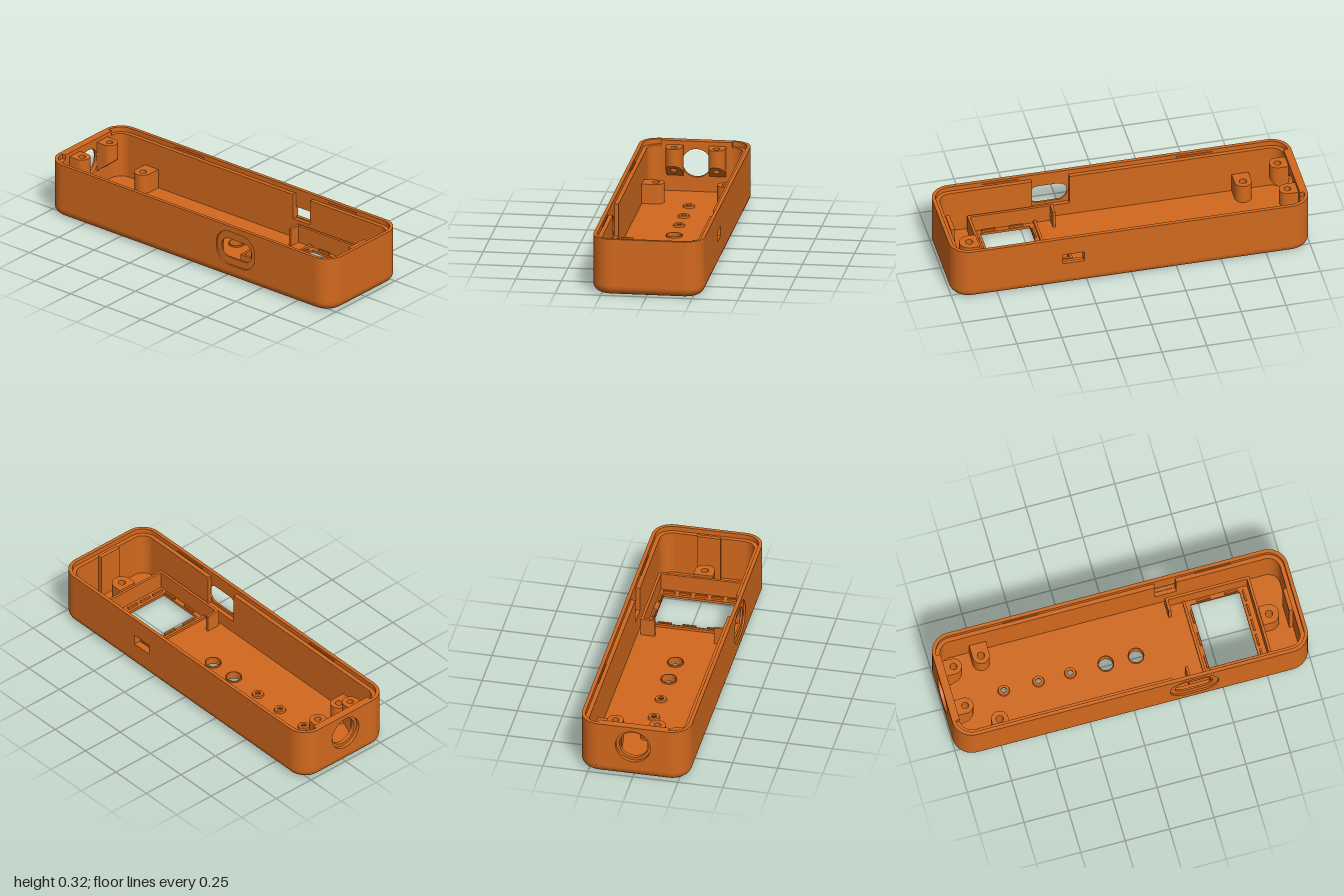
import * as THREE from 'three';
import { toCreasedNormals } from 'three/addons/utils/BufferGeometryUtils.js';

// Outline helpers: floor plans are drawn as (x, -z), side panels as (-z, y)
function rounded(cx, cy, hx, hy, r, Type = THREE.Shape) {
  const s = new Type();
  const a = hx - r, b = hy - r, q = Math.PI / 2;
  s.absarc(cx + a, cy + b, r, 0, q, false);
  s.absarc(cx - a, cy + b, r, q, 2 * q, false);
  s.absarc(cx - a, cy - b, r, 2 * q, 3 * q, false);
  s.absarc(cx + a, cy - b, r, 3 * q, 4 * q, false);
  s.closePath();
  return s;
}
function polygon(pts, Type = THREE.Shape) {
  return new Type(pts.map(p => new THREE.Vector2(p[0], p[1])));
}
function rect(x0, y0, x1, y1, Type = THREE.Shape) {
  return polygon([[x0, y0], [x1, y0], [x1, y1], [x0, y1]], Type);
}
function circle(x, y, r) {
  return new THREE.Path().absarc(x, y, r, 0, Math.PI * 2, true);
}
function withHoles(shape, ...holes) {
  shape.holes.push(...holes);
  return shape;
}
const extrude = (shape, depth) =>
  new THREE.ExtrudeGeometry(shape, { depth, bevelEnabled: false, curveSegments: 14 });
const slab = (shape, y0, y1) => extrude(shape, y1 - y0).rotateX(-Math.PI / 2).translate(0, y0, 0);
const sidePanel = (shape, x0, x1) => extrude(shape, x1 - x0).rotateY(Math.PI / 2).translate(x0, 0, 0);
const facePanel = (shape, z0, z1) => extrude(shape, z1 - z0).translate(0, 0, z0);

// Skin between closed outlines, listed as [points, y]
function loft(rings) {
  const pos = [], idx = [], n = rings[0][0].length;
  for (const [pts, y] of rings) for (const p of pts) pos.push(p.x, y, -p.y);
  for (let k = 0; k < rings.length - 1; k++) {
    for (let i = 0; i < n; i++) {
      const j = (i + 1) % n, a = k * n + i, b = k * n + j;
      idx.push(a, b, b + n, a, b + n, a + n);
    }
  }
  const g = new THREE.BufferGeometry();
  g.setAttribute('position', new THREE.Float32BufferAttribute(pos, 3));
  g.setIndex(idx);
  return g;
}

export function createModel() {
  const group = new THREE.Group();
  const orange = new THREE.MeshStandardMaterial({ color: 0xd2691e });
  orange.name = 'orange plastic';
  function add(name, geometry) {
    geometry.computeVertexNormals();
    const mesh = new THREE.Mesh(toCreasedNormals(geometry, 0.6), orange);
    mesh.name = name;
    group.add(mesh);
    return mesh;
  }
  const box = (name, x0, x1, y0, y1, z0, z1) => add(name,
    new THREE.BoxGeometry(x1 - x0, y1 - y0, z1 - z0)
      .translate((x0 + x1) / 2, (y0 + y1) / 2, (z0 + z1) / 2));

  const X = 0.305, H = 0.318, F = 0.05, FLOOR = 0.035, LEDGE = 0.29;
  const CX = 0.195, CZ = 0.89;

  // Rounded bottom edge
  const rings = [];
  for (let i = 0; i <= 8; i++) {
    const a = (i / 8) * Math.PI / 2, inset = F * (1 - Math.sin(a));
    rings.push([rounded(0, 0, X - inset, 1 - inset, 0.11 - inset).getPoints(10), F * (1 - Math.cos(a))]);
  }
  add('bottomEdge', loft(rings));

  // Floor in two layers, with the display opening and the button and light holes
  const holes = () => [
    ...[-0.08, 0.09].map(z => circle(0, -z, 0.04)),
    ...[-0.655, -0.46, -0.28].map(z => circle(0, -z, 0.03))];
  add('floorBottom', slab(withHoles(rounded(0, 0, X - F, 1 - F, 0.06),
    rect(-0.245, -0.775, 0.245, -0.41, THREE.Path), ...holes()), 0, 0.02));
  add('floorTop', slab(withHoles(rounded(0, 0, 0.275, 0.97, 0.08),
    rect(-0.205, -0.73, 0.205, -0.455, THREE.Path), ...holes()), 0.02, FLOOR));
  add('displayChamfer', loft([
    [rounded(0, -0.5925, 0.205, 0.1375, 0.001).getPoints(2), 0.02],
    [rounded(0, -0.5925, 0.245, 0.1825, 0.001).getPoints(2), 0]]));
  for (const z of [-0.655, -0.46, -0.28]) {
    const profile = [[0.03, 0.02], [0.033, 0.035], [0.03, 0.046], [0.015, 0.046], [0.015, 0.036], [0.03, 0.02]];
    add('lightHole', new THREE.LatheGeometry(profile.map(p => new THREE.Vector2(...p)), 24).translate(0, 0, z));
  }
  for (const z of [-0.08, 0.09]) {
    const profile = [[0.045, 0.03], [0.045, 0.044], [0.04, 0.044], [0.04, 0.03]];
    add('buttonRim', new THREE.LatheGeometry(profile.map(p => new THREE.Vector2(...p)), 28).translate(0, 0, z));
  }

  // Wall corners: thin lip outside, lower ledge inside
  for (let i = 0; i < 4; i++) {
    const cx = i === 0 || i === 3 ? CX : -CX, cy = i < 2 ? CZ : -CZ;
    const a = i * Math.PI / 2, b = a + Math.PI / 2;
    const quarter = (r0, r1) => {
      const s = new THREE.Shape();
      s.absarc(cx, cy, r1, a, b, false);
      s.absarc(cx, cy, r0, b, a, true);
      s.closePath();
      return s;
    };
    add('cornerLip', slab(quarter(0.09, 0.11), F, H));
    add('cornerLedge', slab(quarter(0.067, 0.09), 0.02, LEDGE));
  }

  // Front wall and its inner rib
  box('frontLip', -CX, CX, F, H, 0.98, 1);
  box('frontLedge', -CX, CX, 0.02, LEDGE, 0.957, 0.98);
  box('frontRib', -0.065, 0.065, FLOOR, 0.3, 0.935, 0.957);

  // Back wall with a stepped cable hole
  add('backWallOuter', facePanel(withHoles(rect(-CX, F, CX, H), circle(0, 0.195, 0.097)), -1, -0.98));
  add('backWallInner', facePanel(withHoles(rect(-CX, 0.02, CX, H), circle(0, 0.195, 0.08)), -0.98, -0.957));

  // Left wall with the small rectangular window
  add('leftLip', sidePanel(withHoles(rect(-CZ, F, CZ, H),
    rect(-0.39, 0.15, -0.27, 0.21, THREE.Path)), 0.285, X));
  // Right wall with a recessed slot
  add('rightLipOuter', sidePanel(withHoles(rect(-CZ, F, CZ, H),
    rounded(-0.335, 0.185, 0.135, 0.1, 0.09, THREE.Path)), -X, -0.295));
  add('rightLipInner', sidePanel(withHoles(rect(-CZ, F, CZ, H),
    rounded(-0.335, 0.182, 0.105, 0.055, 0.05, THREE.Path)), -0.295, -0.285));
  // Inner ledges, notched behind the openings
  const notched = (z0, z1, y) => polygon([[-CZ, 0.02], [CZ, 0.02], [CZ, LEDGE], [-z0, LEDGE],
    [-z0, y], [-z1, y], [-z1, LEDGE], [-CZ, LEDGE]]);
  add('leftLedge', sidePanel(notched(0.27, 0.39, 0.145), 0.262, 0.285));
  add('rightLedge', sidePanel(notched(0.22, 0.43, 0.11), -0.285, -0.262));
  for (const s of [-1, 1]) for (const z of [-0.48, 0.6]) {
    const x = s * 0.283;
    box('lidCatch', x - 0.003, x + 0.003, 0.297, 0.305, z - 0.1, z + 0.1);
  }

  // Display frame
  const T = 0.135;
  for (const s of [-1, 1]) {
    const span = (a, b) => (s > 0 ? [a, b] : [-b, -a]);
    box('frameSide', ...span(0.23, 0.245), 0.03, T, 0.32, 0.795);
    box('frameHook', ...span(0.165, 0.23), 0.03, T, 0.32, 0.335);
    for (const z of [0.53, 0.685]) box('displayClip', ...span(0.209, 0.219), 0.03, 0.048, z - 0.038, z + 0.038);
  }
  box('frameFront', -0.23, 0.23, 0.03, T, 0.78, 0.795);
  box('frameBack', -0.23, 0.23, 0.03, 0.05, 0.415, 0.43);
  for (const x of [-0.135, 0, 0.135]) box('displayClip', x - 0.038, x + 0.038, 0.03, 0.048, 0.442, 0.452);
  for (let i = -2; i <= 2; i++) box('displayClip', i * 0.089 - 0.033, i * 0.089 + 0.033, 0.03, 0.048, 0.745, 0.755);

  // Screw posts: round at the free end, straight to the wall
  function post(name, x, z, r, hole, len, y0, y1, turn, taper) {
    const s = new THREE.Shape();
    s.absarc(0, 0, r, Math.PI, Math.PI * 2, false);
    s.lineTo(r, len);
    s.lineTo(-r, len);
    s.closePath();
    const g = slab(withHoles(s, circle(0, 0, hole)), y0, y1);
    const p = g.attributes.position;
    for (let i = 0; i < p.count; i++) {
      if (p.getY(i) < y0 + 0.001) p.setY(i, y0 + (p.getZ(i) + len) * taper);
    }
    const mesh = add(name, g);
    mesh.position.set(x, 0, z);
    mesh.rotation.y = turn;
  }
  for (const s of [-1, 1]) {
    post('backPost', s * 0.117, -0.905, 0.045, 0.019, 0.055, 0.12, 0.295, 0, 0.8);
    post('sidePost', s * 0.19, -0.73, 0.047, 0.02, 0.075, 0.03, 0.145, -s * Math.PI / 2, 0);
  }
  post('frontPost', 0, 0.84, 0.055, 0.02, 0.047, 0.03, 0.15, 0, 0);

  return group;
}
